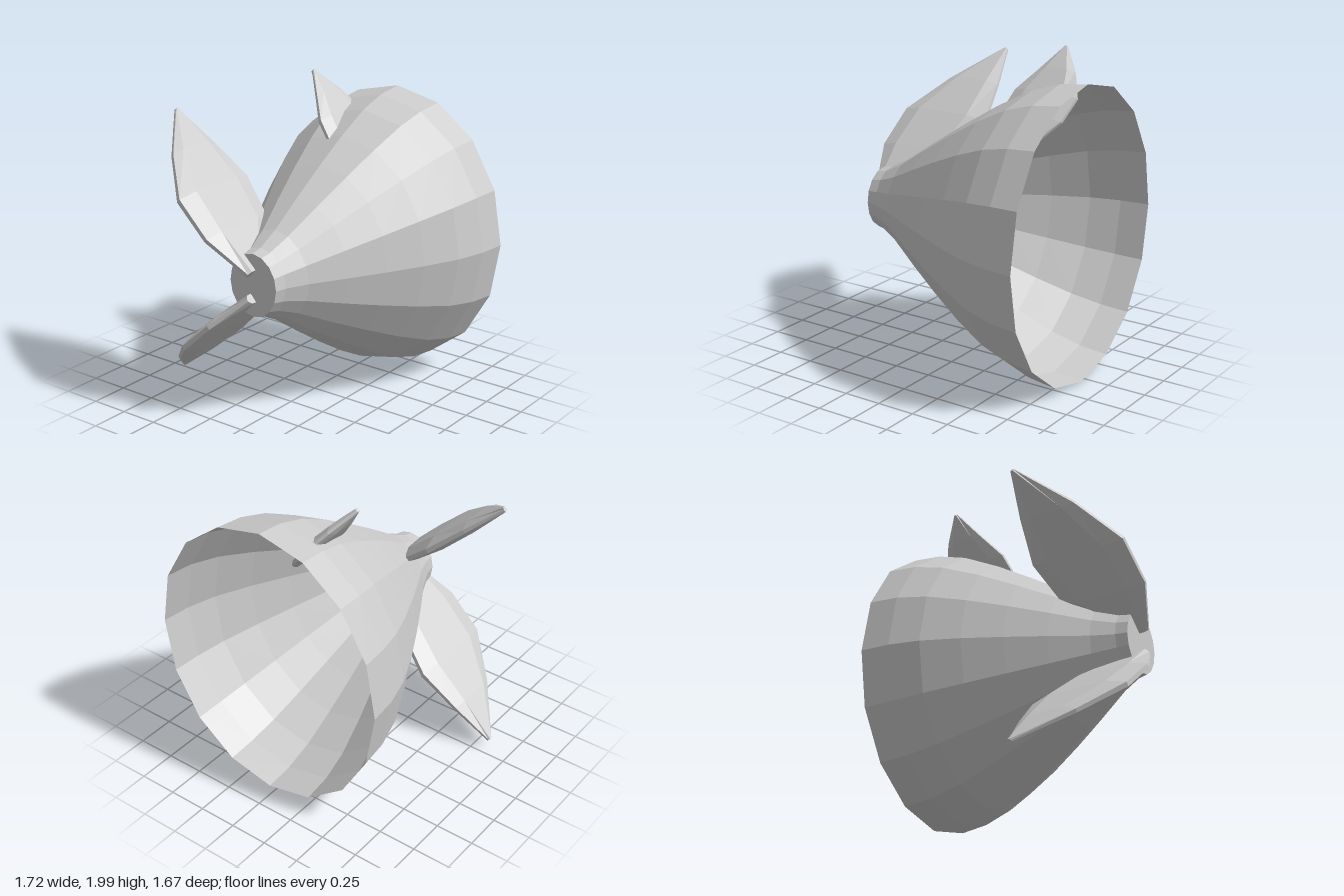
import * as THREE from 'three';

const CX = 0.05, CY = 0.94; // axis of the bell

// Flattened, faceted blade. Each section is [distance along spine, zBack, zFront, thickness].
function bladeGeometry(start, end, sections) {
  const dir = new THREE.Vector2(end[0] - start[0], end[1] - start[1]).normalize();
  const outline = [[-1, -0.3], [-0.6, -1], [0.6, -1], [1, -0.3], [1, 0.3], [0.6, 1], [-0.6, 1], [-1, 0.3]];
  const n = outline.length, positions = [], index = [];
  for (const [s, zBack, zFront, thick] of sections) {
    const mid = (zBack + zFront) / 2, half = (zFront - zBack) / 2;
    for (const [u, t] of outline) {
      const off = t * thick / 2;
      positions.push(start[0] + dir.x * s - dir.y * off, start[1] + dir.y * s + dir.x * off, mid + u * half);
    }
  }
  // Side faces between neighbouring sections
  for (let r = 0; r < sections.length - 1; r++) {
    for (let i = 0; i < n; i++) {
      const a = r * n + i, b = r * n + (i + 1) % n;
      index.push(a, a + n, b, b, a + n, b + n);
    }
  }
  // End caps
  const last = (sections.length - 1) * n;
  for (let i = 1; i < n - 1; i++) {
    index.push(0, i, i + 1);
    index.push(last, last + i + 1, last + i);
  }
  const g = new THREE.BufferGeometry();
  g.setAttribute('position', new THREE.Float32BufferAttribute(positions, 3));
  g.setIndex(index);
  const flat = g.toNonIndexed();
  flat.computeVertexNormals();
  return flat;
}

export function createModel() {
  const model = new THREE.Group();
  model.name = 'finnedBell';

  const grey = new THREE.MeshStandardMaterial({ color: 0xcccccc, side: THREE.DoubleSide, flatShading: true });
  grey.name = 'light grey';

  const add = (name, geometry) => {
    const mesh = new THREE.Mesh(geometry, grey);
    mesh.name = name;
    model.add(mesh);
    return mesh;
  };

  // Open oval bell with a closed nose: [radius, z]
  const profile = [
    [0.935, -0.835], [0.912, -0.645], [0.85, -0.45], [0.73, -0.22], [0.59, 0.01],
    [0.44, 0.24], [0.29, 0.46], [0.217, 0.6], [0.2, 0.675], [0, 0.675],
  ].map(([r, z]) => new THREE.Vector2(r, z));
  const bell = new THREE.LatheGeometry(profile, 16);
  bell.rotateX(Math.PI / 2);
  bell.scale(0.87, 1, 1);
  bell.translate(CX, CY, 0);
  add('bell', bell);

  // Pair of large fins, mirrored above and below the axis
  const largeSections = [
    [0, 0.305, 0.33, 0.03], [0.3, 0.235, 0.61, 0.08], [0.6, 0.185, 0.815, 0.1],
    [0.9, 0.27, 0.835, 0.09], [1.2, 0.62, 0.73, 0.06],
  ];
  for (const [name, side] of [['upperFin', 1], ['lowerFin', -1]]) {
    add(name, bladeGeometry([-0.85, CY + 0.87 * side], [0.05, CY + 0.08 * side], largeSections));
  }

  // Small fin through the top of the bell
  add('topFin', bladeGeometry([-0.35, 1.99], [0.09, 1.475], [
    [0, -0.46, -0.44, 0.025], [0.17, -0.58, -0.335, 0.06], [0.34, -0.66, -0.225, 0.075],
    [0.51, -0.62, -0.19, 0.07], [0.68, -0.5, -0.39, 0.045],
  ]));

  return model;
}
